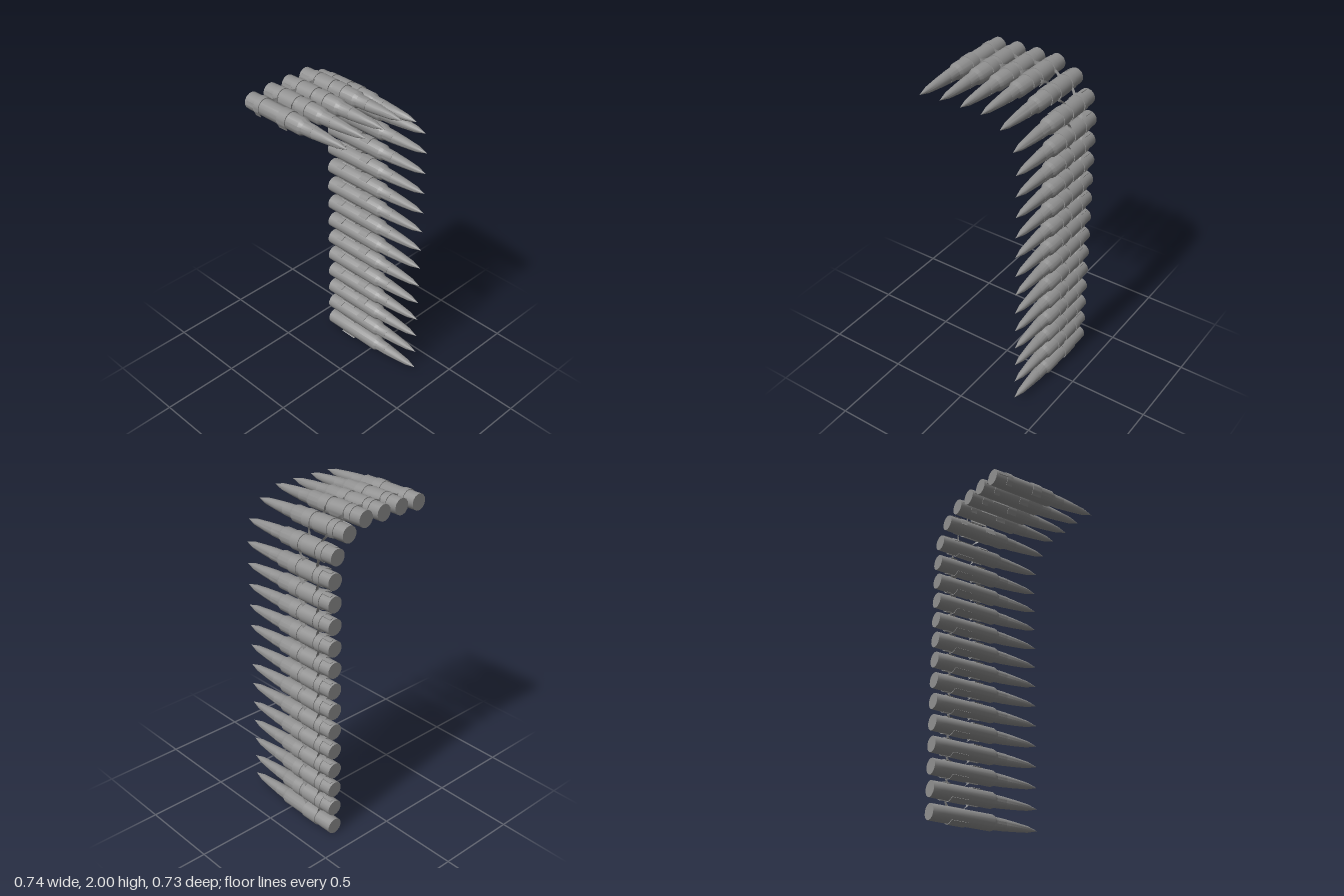
import * as THREE from 'three';
import { toCreasedNormals } from 'three/addons/utils/BufferGeometryUtils.js';

const LINK_R = 0.0545, THICK = 0.0045;
const rad = THREE.MathUtils.degToRad;

// Point around a round's axis: 0 deg is the outer side of the belt, +90 faces the previous round
const around = (x, r, deg) => new THREE.Vector3(x, r * Math.cos(rad(deg)), r * Math.sin(rad(deg)));

// Open band bent around the case, with a flared lip at the far end
function bandGeometry(x0, x1, from, to) {
  const outer = [], inner = [], n = 16;
  for (let i = 0; i <= n; i++) {
    const a = rad(from + (to - from) * i / n);
    const r = LINK_R + (i === n ? 0.006 : 0);
    outer.push(new THREE.Vector2(-Math.sin(a) * r, Math.cos(a) * r));
    inner.unshift(new THREE.Vector2(-Math.sin(a) * (r - THICK), Math.cos(a) * (r - THICK)));
  }
  const geo = new THREE.ExtrudeGeometry(new THREE.Shape([...outer, ...inner]),
    { depth: x1 - x0, bevelEnabled: false });
  geo.rotateY(Math.PI / 2).translate(x0, 0, 0);
  return toCreasedNormals(geo, rad(35));
}

// Ribbon that steps sideways from a ring on one round to the loop on the next
function armGeometry(a, b, xa, xb) {
  const pos = [], index = [], n = 6;
  const ends = [60, 85].map(d => [
    around(xa, LINK_R - 0.001, -d).applyMatrix4(a.matrix),
    around(xb, LINK_R - 0.001, d).applyMatrix4(b.matrix)]);
  for (let i = 0; i <= n; i++) {
    const t = i / n;
    for (const [p, q] of ends) {
      const v = p.clone().lerp(q, t);
      v.x = THREE.MathUtils.lerp(xa, xb, THREE.MathUtils.smoothstep(t, 0, 1));
      pos.push(v.x, v.y, v.z);
    }
    if (i < n) index.push(2 * i, 2 * i + 1, 2 * i + 2, 2 * i + 1, 2 * i + 3, 2 * i + 2);
  }
  const geo = new THREE.BufferGeometry();
  geo.setAttribute('position', new THREE.Float32BufferAttribute(pos, 3));
  geo.setIndex(index);
  geo.computeVertexNormals();
  return geo;
}

export function createModel() {
  const model = new THREE.Group();
  model.name = 'cartridgeBelt';
  const metal = new THREE.MeshStandardMaterial({ color: 0x909090 });
  const sheet = new THREE.MeshStandardMaterial({ color: 0x909090, side: THREE.DoubleSide });

  const add = (parent, geo, name, mat = metal) => {
    const mesh = new THREE.Mesh(geo, mat);
    mesh.name = name;
    parent.add(mesh);
  };
  const lathe = pts => toCreasedNormals(new THREE.LatheGeometry(
    pts.map(([x, r]) => new THREE.Vector2(r, x)), 14).rotateZ(-Math.PI / 2), rad(32));

  // Case with shoulder and neck, and the pointed tip
  const caseGeo = lathe([[-0.37, 0], [-0.37, 0.049], [-0.3, 0.0495], [0.04, 0.0495],
    [0.062, 0.039], [0.13, 0.0365], [0.13, 0]]);
  const tipGeo = lathe([[0.125, 0.036], [0.2, 0.03], [0.298, 0.0195], [0.368, 0]]);

  // Link parts: two rings hold a round, the middle loop holds the next one
  const rearRing = bandGeometry(-0.296, -0.257, -88, 140);
  const frontRing = bandGeometry(-0.112, -0.049, -88, 140);
  const loop = bandGeometry(-0.247, -0.138, 88, -140);
  const tab = new THREE.BoxGeometry(0.068, THICK, 0.02);
  tab.rotateZ(0.04).translate(-0.322, 0.0505, 0).rotateX(rad(75));

  // Belt path as [y, z]: over the top, round the bend, straight down
  const path = [[1.938, 0.309], [1.946, 0.175], [1.946, 0.042], [1.946, -0.09],
    [1.892, -0.208], [1.788, -0.29]];
  for (let i = 0; i < 13; i++) path.push([1.655 - i * 0.1333, -0.309]);

  const last = path.length - 1;
  const rounds = path.map(([y, z], i) => {
    const p = path[Math.max(i - 1, 0)], q = path[Math.min(i + 1, last)];
    const round = new THREE.Group();
    round.name = 'round' + (i + 1);
    round.position.set(0, y, z);
    round.rotation.x = Math.atan2(q[0] - p[0], p[1] - q[1]);
    round.updateMatrix();
    add(round, caseGeo, 'case');
    add(round, tipGeo, 'tip');
    if (i < last) {
      add(round, rearRing, 'rearLinkRing');
      add(round, frontRing, 'frontLinkRing');
      add(round, tab, 'linkTab');
    }
    if (i > 0) add(round, loop, 'linkLoop');
    model.add(round);
    return round;
  });

  // Arms joining neighbouring rounds
  for (let i = 0; i < last; i++) {
    add(model, armGeometry(rounds[i], rounds[i + 1], -0.258, -0.246), 'rearLinkArm', sheet);
    add(model, armGeometry(rounds[i], rounds[i + 1], -0.111, -0.139), 'frontLinkArm', sheet);
  }
  return model;
}
